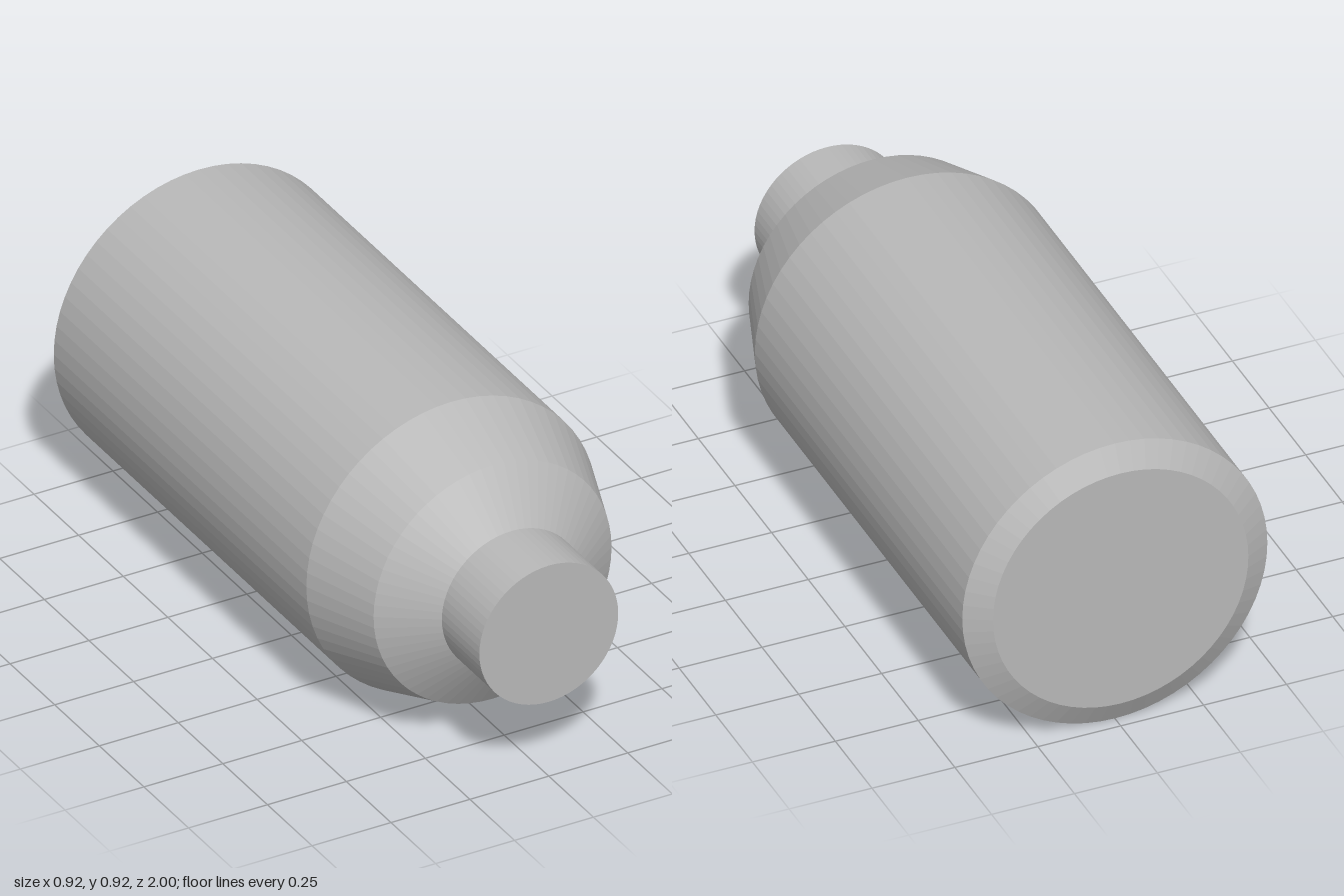
import * as THREE from 'three';

const SIDES = 64;
const AXIS_Y = 0.46;

export function createModel() {
  const model = new THREE.Group();
  model.name = 'canister';
  const grey = new THREE.MeshStandardMaterial({ color: 0xb8b8b8, flatShading: true });
  grey.name = 'plain grey';

  const add = (name, geometry, z) => {
    const mesh = new THREE.Mesh(geometry, grey);
    mesh.name = name;
    mesh.position.set(0, AXIS_Y, z);
    model.add(mesh);
  };

  // Open ring of wall between two stations on the long axis
  const wall = (name, zBack, rBack, zFront, rFront) => {
    const g = new THREE.CylinderGeometry(rFront, rBack, zFront - zBack, SIDES, 1, true);
    add(name, g.rotateX(Math.PI / 2), (zBack + zFront) / 2);
  };

  // Walls from the base to the mouth
  wall('baseChamfer', -1, 0.385, -0.96, 0.46);
  wall('body', -0.96, 0.46, 0.455, 0.46);
  wall('bodyTaper', 0.455, 0.46, 0.685, 0.377);
  wall('shoulder', 0.685, 0.377, 0.79, 0.22);
  wall('neck', 0.79, 0.22, 1, 0.22);

  // Flat ends, aligned with the wall facets
  const disc = (r) => new THREE.CircleGeometry(r, SIDES);
  add('neckEnd', disc(0.22), 1);
  add('baseEnd', disc(0.385).rotateY(Math.PI), -1);

  return model;
}
